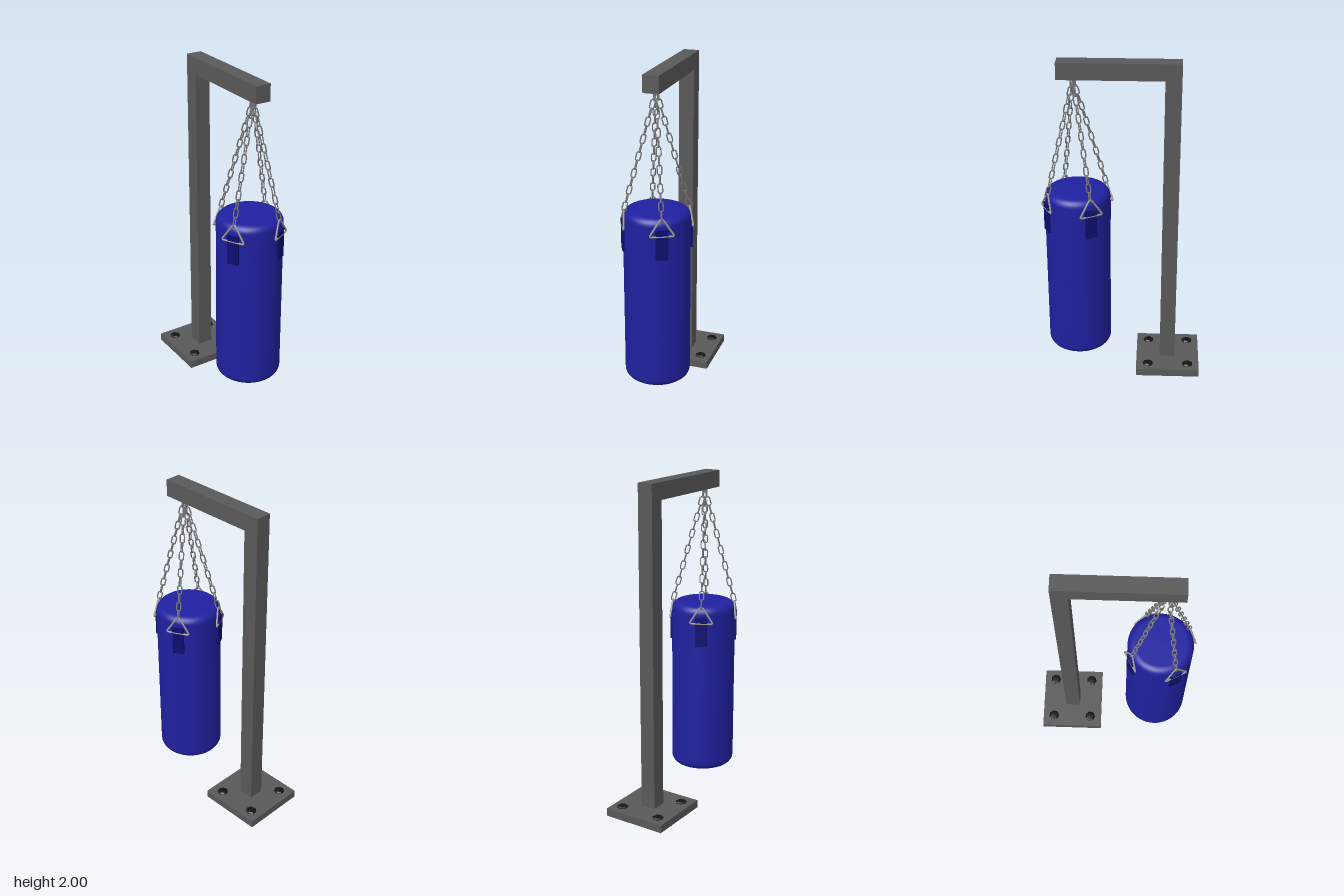
import * as THREE from 'three';

const BAG = { x: -0.004, z: 0.272, r: 0.195, bottom: 0.145, top: 1.21 };
const mat = (color, extra = {}) => new THREE.MeshStandardMaterial({ color, ...extra });

function add(parent, name, geometry, material, x = 0, y = 0, z = 0) {
  const mesh = new THREE.Mesh(geometry, material);
  mesh.name = name;
  mesh.position.set(x, y, z);
  parent.add(mesh);
  return mesh;
}

// Closed wire loop through a few corner points
function wireLoop(points, radius, segments, sides, tension) {
  const curve = new THREE.CatmullRomCurve3(points, true, 'catmullrom', tension);
  return new THREE.TubeGeometry(curve, segments, radius, sides, true);
}

// Rounded chain link standing along y
function linkGeometry(length, width, wire) {
  const h = length / 2 - wire, w = width / 2 - wire, c = w * 0.6;
  const corners = [[w, -h + c], [w, h - c], [w - c, h], [c - w, h], [-w, h - c], [-w, c - h], [c - w, -h], [w - c, -h]];
  return wireLoop(corners.map(([x, y]) => new THREE.Vector3(x, y, 0)), wire, 20, 6, 0.2);
}

// Bag body: cylinder with rounded rims
function bagGeometry() {
  const { r, bottom, top } = BAG, round = 0.045, steps = 6;
  const profile = [new THREE.Vector2(0, bottom)];
  for (const [y, start] of [[bottom + round, -Math.PI / 2], [top - round, 0]]) {
    for (let i = 0; i <= steps; i++) {
      const a = start + (i / steps) * Math.PI / 2;
      profile.push(new THREE.Vector2(r - round + round * Math.cos(a), y + round * Math.sin(a)));
    }
  }
  profile.push(new THREE.Vector2(0, top));
  return new THREE.LatheGeometry(profile, 48);
}

export function createModel() {
  const model = new THREE.Group();
  model.name = 'punchingBagStand';
  const steel = mat(0x595959);
  const chainMetal = mat(0x777777);
  const ringMetal = mat(0x99968c);
  const blue = mat(0x2020a0);
  const darkBlue = mat(0x0e0e70);
  const black = mat(0x141414, { flatShading: true });

  // Stand
  add(model, 'basePlate', new THREE.BoxGeometry(0.395, 0.048, 0.395), steel, 0.001, 0.024, -0.286);
  add(model, 'post', new THREE.BoxGeometry(0.094, 1.86, 0.094), steel, 0.002, 0.97, -0.284);
  add(model, 'arm', new THREE.BoxGeometry(0.094, 0.1, 0.706), steel, 0.002, 1.95, 0.022);

  // Base bolts with chamfered heads
  const bolt = new THREE.LatheGeometry(
    [[0.034, 0], [0.034, 0.005], [0.024, 0.012], [0, 0.014]].map(([x, y]) => new THREE.Vector2(x, y)), 7);
  for (const x of [-0.127, 0.133]) {
    for (const z of [-0.412, -0.163]) add(model, 'bolt', bolt, black, x, 0.046, z);
  }

  // Bag
  add(model, 'bag', bagGeometry(), blue, BAG.x, 0, BAG.z);

  // Four straps, triangular rings and chains around the rim
  const apexY = 1.212, apexR = 0.19;
  const hook = new THREE.Vector3(0.0, 1.895, 0.283);
  const link = linkGeometry(0.061, 0.033, 0.004);
  const strap = new THREE.BoxGeometry(0.07, 0.18, 0.016);
  const ring = wireLoop([
    [-0.064, 1.113, 0.2], [0.064, 1.113, 0.2], [0.067, 1.122, 0.2],
    [0.01, apexY - 0.004, apexR], [-0.01, apexY - 0.004, apexR], [-0.067, 1.122, 0.2],
  ].map(p => new THREE.Vector3(...p)), 0.0055, 48, 8, 0.12);

  for (let i = 0; i < 4; i++) {
    const angle = THREE.MathUtils.degToRad(28 + 90 * i);
    const hanger = new THREE.Group();
    hanger.name = 'hanger';
    hanger.position.set(BAG.x, 0, BAG.z);
    hanger.rotation.y = angle;
    add(hanger, 'strap', strap, darkBlue, 0, 1.06, 0.196);
    add(hanger, 'triangleRing', ring, ringMetal);
    model.add(hanger);

    // Chain from ring apex to the arm, alternate links turned a quarter
    const start = new THREE.Vector3(
      BAG.x + apexR * Math.sin(angle), apexY - 0.005, BAG.z + apexR * Math.cos(angle));
    const chain = new THREE.Group();
    chain.name = 'chain';
    chain.position.copy(start);
    const span = hook.clone().sub(start);
    const tilt = new THREE.Quaternion().setFromUnitVectors(new THREE.Vector3(0, 1, 0), span.clone().normalize());
    chain.quaternion.copy(tilt).multiply(
      new THREE.Quaternion().setFromAxisAngle(new THREE.Vector3(0, 1, 0), angle));
    const count = 14, pitch = span.length() / count;
    for (let k = 0; k < count; k++) {
      const mesh = add(chain, 'chainLink', link, chainMetal, 0, (k + 0.5) * pitch, 0);
      mesh.rotation.y = k % 2 ? 0 : Math.PI / 2;
    }
    model.add(chain);
  }
  return model;
}
